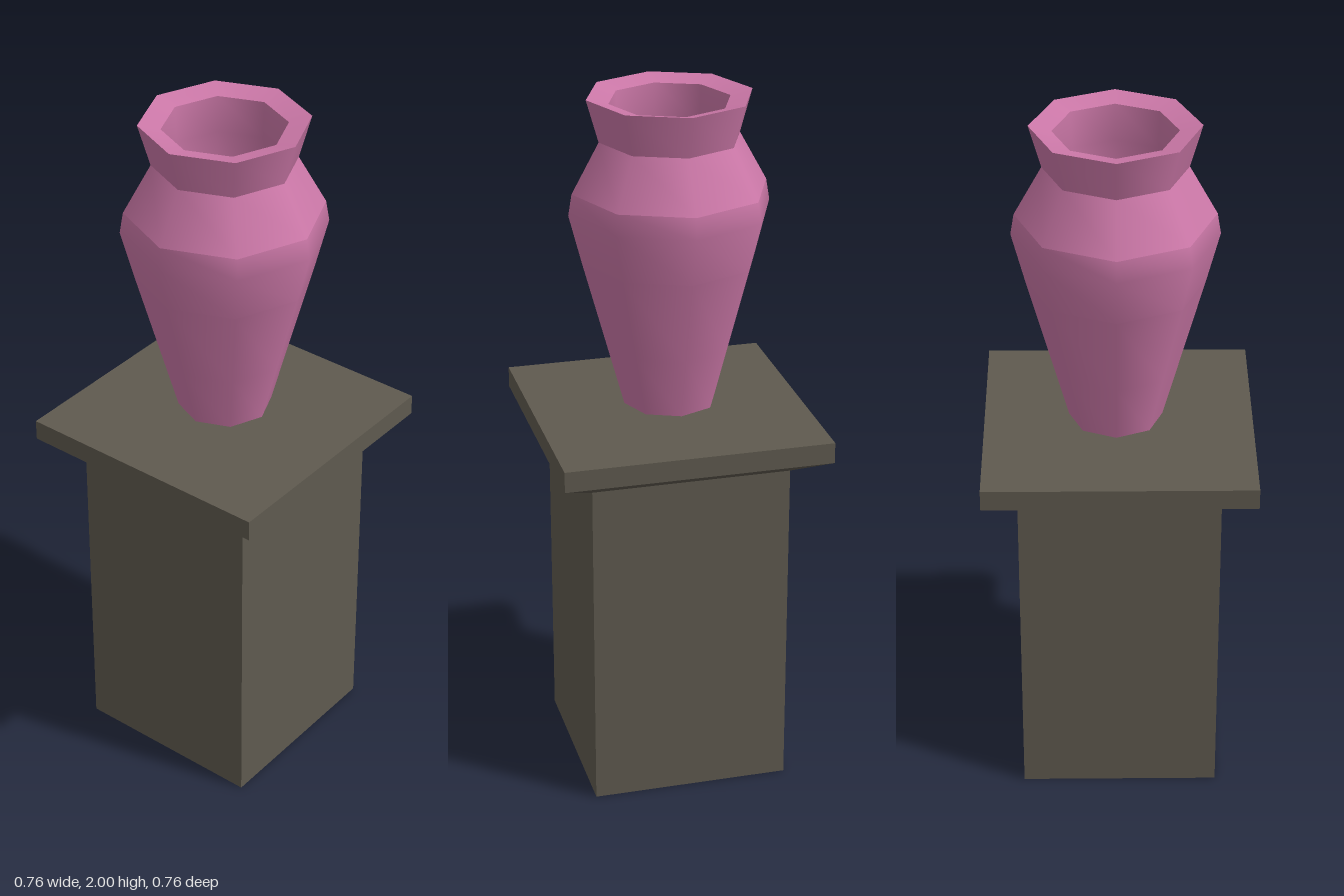
import * as THREE from 'three';

const stone = new THREE.MeshStandardMaterial({ color: 0x5f5a4f, flatShading: true, side: THREE.DoubleSide });
const glaze = new THREE.MeshStandardMaterial({ color: 0xcc78a8, side: THREE.DoubleSide });

// Revolve a [radius, y] profile
function lathe(name, profile, sides, material, phi = 0) {
  const points = profile.map(([r, y]) => new THREE.Vector2(r, y));
  const mesh = new THREE.Mesh(new THREE.LatheGeometry(points, sides, phi), material);
  mesh.name = name;
  return mesh;
}

// Square shell given as half widths and heights
function square(name, profile) {
  const corners = profile.map(([half, y]) => [half * Math.SQRT2, y]);
  return lathe(name, corners, 4, stone, Math.PI / 4);
}

export function createModel() {
  const model = new THREE.Group();
  model.name = 'vaseOnPedestal';

  // Pedestal: hollow shaft, open underneath, with a flared slab on top
  const pedestal = new THREE.Group();
  pedestal.name = 'pedestal';
  pedestal.add(
    square('shaft', [[0.283, 0], [0.283, 0.975]]),
    square('flare', [[0.283, 0.975], [0.38, 1.03]]),
    square('slab', [[0.38, 1.03], [0.38, 1.09], [0, 1.09]])
  );

  // Vase: eight sides, smooth around, with a crease between the bands
  const vase = new THREE.Group();
  vase.name = 'vase';
  const bands = {
    base: [[0, 1.11], [0.132, 1.11]],
    foot: [[0.132, 1.11], [0.181, 1.29]],
    lowerBody: [[0.181, 1.29], [0.249, 1.54]],
    belly: [[0.249, 1.54], [0.285, 1.68], [0.275, 1.74]],
    shoulder: [[0.275, 1.74], [0.198, 1.88]],
    neck: [[0.198, 1.88], [0.232, 2]],
    rim: [[0.232, 2], [0.17, 1.985]],
    inside: [[0.17, 1.985], [0.165, 1.88], [0.2, 1.7], [0.15, 1.35], [0.09, 1.18], [0, 1.14]]
  };
  for (const [name, profile] of Object.entries(bands)) vase.add(lathe(name, profile, 8, glaze));
  vase.position.set(0.008, 0, -0.008);

  model.add(pedestal, vase);
  return model;
}
